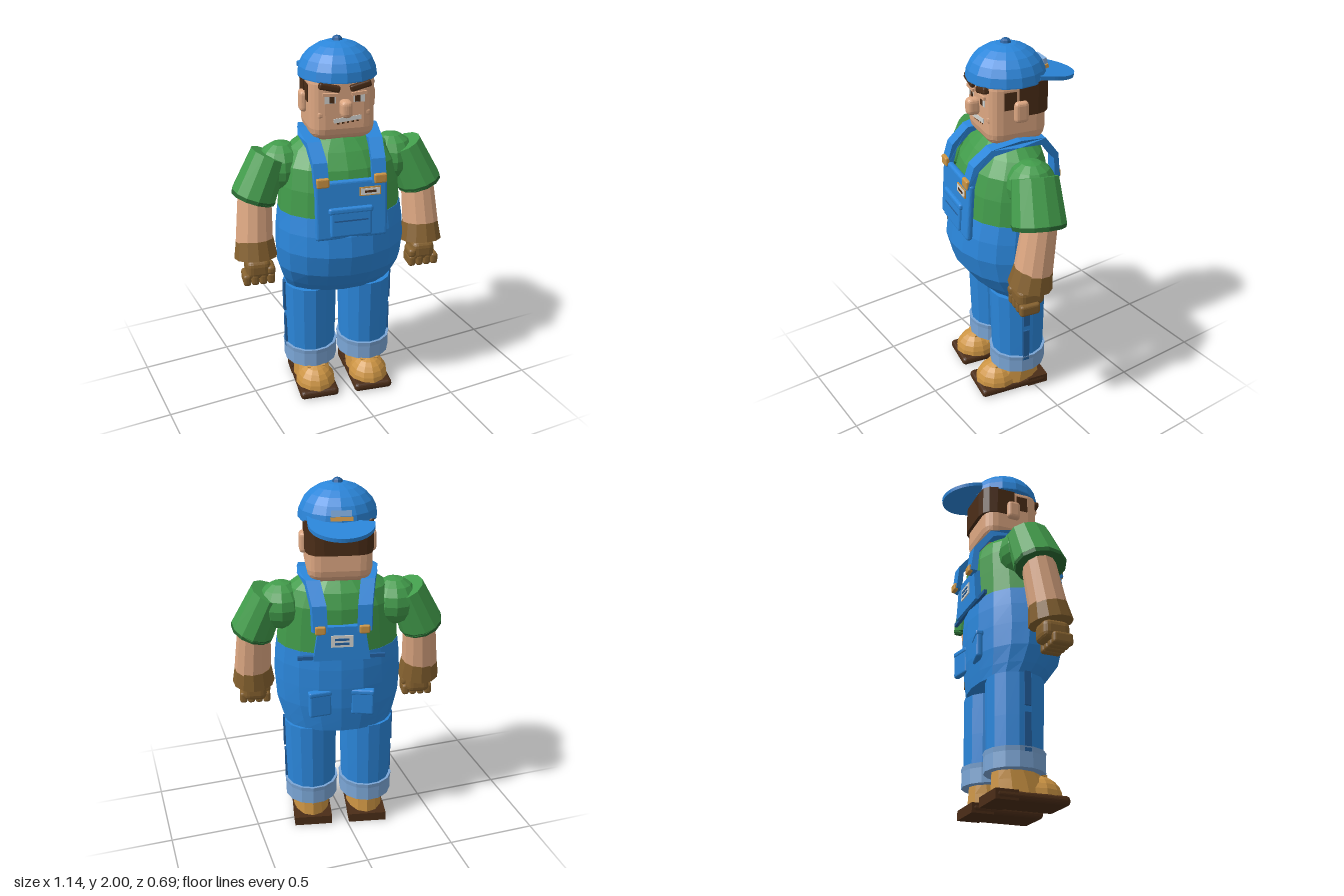
import * as THREE from 'three';
import { toCreasedNormals } from 'three/addons/utils/BufferGeometryUtils.js';
import { RoundedBoxGeometry } from 'three/addons/geometries/RoundedBoxGeometry.js';

const paint = (name, color) => {
  const m = new THREE.MeshStandardMaterial({ color });
  m.name = name;
  return m;
};

export function createModel() {
  const blue = paint('denim blue', 0x2b86da), navy = paint('dark denim', 0x23609f);
  const green = paint('shirt green', 0x429c4b), hem = paint('dark green', 0x2a6b33);
  const skin = paint('skin', 0xdda782), leather = paint('glove brown', 0x85612f);
  const tan = paint('boot tan', 0xcc9443), brown = paint('dark brown', 0x4b2d17);
  const pale = paint('pale denim', 0x7ba6d6), white = paint('off white', 0xd6d6d2);

  const root = new THREE.Group();
  root.name = 'worker';
  const body = new THREE.Group();
  body.name = 'figure';
  body.rotation.y = -0.2;
  body.position.x = 0.012;
  root.add(body);

  const add = (name, geo, mat, pos = [0, 0, 0], rot = [0, 0, 0]) => {
    const m = new THREE.Mesh(geo, mat);
    m.name = name;
    m.position.set(...pos);
    m.rotation.set(...rot);
    body.add(m);
    return m;
  };
  const flat = (g) => toCreasedNormals(g, 0.05);
  const box = (w, h, d) => new THREE.BoxGeometry(w, h, d);
  const round = (w, h, d, r) => flat(new RoundedBoxGeometry(w, h, d, 2, r));

  // Closed skin through oval rings of [y, half width, front z, back z, centre x]
  const loft = (rings, n = 18) => {
    const v = [], idx = [];
    for (const [y, rx, front, back, cx = 0] of rings)
      for (let j = 0; j < n; j++) {
        const t = (j / n) * Math.PI * 2;
        v.push(cx + rx * Math.sin(t), y, (front + back) / 2 + ((front - back) / 2) * Math.cos(t));
      }
    for (let i = 0; i < rings.length - 1; i++)
      for (let j = 0; j < n; j++) {
        const a = i * n + j, b = i * n + ((j + 1) % n);
        idx.push(a, b, b + n, a, b + n, a + n);
      }
    const top = (rings.length - 1) * n;
    for (let j = 1; j < n - 1; j++) idx.push(0, j + 1, j, top, top + j, top + j + 1);
    const g = new THREE.BufferGeometry();
    g.setAttribute('position', new THREE.Float32BufferAttribute(v, 3));
    g.setIndex(idx);
    return flat(g);
  };
  // Tapered cylinder from an upper point to a lower point
  const limb = (name, mat, p, q, r0, r1, depth = 1, n = 12) => {
    const a = new THREE.Vector3(...p), b = new THREE.Vector3(...q);
    const g = new THREE.CylinderGeometry(r0, r1, a.distanceTo(b), n).scale(1, 1, depth);
    const m = add(name, flat(g), mat, a.clone().add(b).multiplyScalar(0.5).toArray());
    m.quaternion.setFromUnitVectors(new THREE.Vector3(0, 1, 0), a.sub(b).normalize());
  };

  // Torso: overalls below, shirt above
  add('overalls', loft([
    [0.64, 0.292, 0.175, -0.165], [0.70, 0.315, 0.235, -0.175], [0.79, 0.342, 0.3, -0.187],
    [0.91, 0.35, 0.331, -0.193], [1.02, 0.345, 0.318, -0.192], [1.115, 0.333, 0.292, -0.185],
  ]), blue);
  add('shirt', loft([
    [1.11, 0.331, 0.29, -0.184], [1.25, 0.32, 0.272, -0.182], [1.36, 0.305, 0.242, -0.18],
    [1.44, 0.262, 0.19, -0.155], [1.49, 0.19, 0.145, -0.115], [1.525, 0.12, 0.11, -0.09],
  ]), green);

  // Bib with pocket and label
  add('bib', round(0.38, 0.315, 0.035, 0.015), blue, [0.004, 1.17, 0.287], [-0.07, 0, 0]);
  add('bibPocket', round(0.22, 0.16, 0.03, 0.012), blue, [-0.002, 1.11, 0.308], [-0.07, 0, 0]);
  add('bibPocketFlap', round(0.235, 0.035, 0.036, 0.012), blue, [-0.002, 1.172, 0.303], [-0.07, 0, 0]);
  add('bibPocketSeam', box(0.18, 0.008, 0.006), navy, [-0.002, 1.12, 0.321], [-0.07, 0, 0]);
  add('bibLabelEdge', box(0.11, 0.046, 0.008), tan, [0.1, 1.265, 0.3], [-0.07, 0, 0]);
  add('bibLabel', box(0.098, 0.034, 0.008), white, [0.1, 1.265, 0.303], [-0.07, 0, 0]);
  add('bibLabelBar', box(0.06, 0.012, 0.006), brown, [0.1, 1.265, 0.306], [-0.07, 0, 0]);

  // Back panel, waistband and label
  const panel = new THREE.Shape([[-0.15, 1.09], [0.15, 1.09], [0.12, 1.28], [-0.12, 1.28]].map((p) => new THREE.Vector2(...p)));
  add('backPanel', new THREE.ExtrudeGeometry(panel, { depth: 0.035, bevelEnabled: false }), blue, [0, 0, -0.207]);
  add('backBand', box(0.46, 0.02, 0.018), navy, [0, 1.1, -0.181]);
  add('backLabel', box(0.115, 0.065, 0.008), white, [0, 1.2, -0.209]);
  for (const y of [1.187, 1.211]) add('backLabelBar', box(0.075, 0.012, 0.006), navy, [0, y, -0.213]);

  // Strap: curved band in side profile, with its sideways position set by z
  const mid = [[0.285, 1.30], [0.252, 1.41], [0.165, 1.487], [0.02, 1.517], [-0.125, 1.495], [-0.205, 1.39], [-0.218, 1.26]];
  const shift = (d) => mid.map(([z, y]) => {
    const l = Math.hypot(z - 0.03, y - 1.2);
    return new THREE.Vector2(z + (d * (z - 0.03)) / l, y + (d * (y - 1.2)) / l);
  });
  const strap = (s) => {
    const shape = new THREE.Shape([...shift(0.018), ...shift(-0.018).reverse()]);
    const g = new THREE.ExtrudeGeometry(shape, { depth: 0.074, bevelEnabled: false });
    g.rotateY(-Math.PI / 2).translate(0.037, 0, 0);
    const p = g.attributes.position;
    for (let i = 0; i < p.count; i++) {
      const z = p.getZ(i), t = Math.min(1, Math.abs(z) / 0.28);
      p.setX(i, p.getX(i) + s * (0.178 - (z > 0 ? 0.028 : 0.078) * t));
    }
    return flat(g);
  };

  // Boot toe: half dome resting on the sole
  const toe = flat(new THREE.SphereGeometry(1, 12, 6, 0, Math.PI * 2, 0, Math.PI / 2).scale(0.112, 0.115, 0.125));

  for (const s of [-1, 1]) {
    add('strap', strap(s), blue);
    add('frontClip', round(0.066, 0.05, 0.025, 0.008), tan, [s * 0.15 + 0.004, 1.327, 0.294]);
    add('backClip', round(0.055, 0.045, 0.025, 0.008), tan, [s * 0.114, 1.275, -0.232]);
    add('backPocket', round(0.125, 0.15, 0.035, 0.012), blue, [s * 0.115, 0.825, -0.178], [0, s * 0.2, 0]);
    add('backPocketFlap', round(0.128, 0.03, 0.042, 0.01), blue, [s * 0.115, 0.885, -0.178], [0, s * 0.2, 0]);

    // Leg with side stripe and rolled cuff
    const lx = s * 0.157;
    add('leg', loft([[0.2, 0.138, 0.153, -0.135, lx], [0.42, 0.144, 0.16, -0.138, lx], [0.645, 0.147, 0.166, -0.14, lx]], 14), blue);
    add('sideStripe', box(0.014, 0.18, 0.036), navy, [s * 0.303, 0.56, 0.02]);
    add('sideStripe', box(0.014, 0.2, 0.036), navy, [s * 0.299, 0.335, 0.02]);
    add('trouserCuff', loft([[0.155, 0.15, 0.167, -0.147, lx], [0.235, 0.15, 0.167, -0.147, lx], [0.26, 0.154, 0.17, -0.15, lx]], 14), pale);

    // Boot
    add('sole', round(0.22, 0.05, 0.4, 0.022), brown, [lx, 0.025, 0.065]);
    add('heel', box(0.215, 0.052, 0.12), brown, [lx, 0.026, -0.075]);
    add('boot', loft([[0.045, 0.105, 0.2, -0.12, lx], [0.11, 0.1, 0.17, -0.115, lx], [0.18, 0.095, 0.12, -0.11, lx]], 12), tan);
    add('toeCap', toe, tan, [lx, 0.045, 0.135]);
    add('lace', box(0.1, 0.012, 0.03), tan, [lx, 0.155, 0.15], [0.5, 0, 0]);

    // Arm: shoulder, sleeve, forearm, gauntlet and fist
    add('shoulder', flat(new THREE.SphereGeometry(0.13, 12, 8)), green, [s * 0.3, 1.335, 0.005]);
    limb('sleeve', green, [s * 0.36, 1.4, 0.012], [s * 0.457, 1.185, 0.032], 0.102, 0.12, 1.2);
    limb('sleeveHem', hem, [s * 0.453, 1.192, 0.032], [s * 0.46, 1.172, 0.034], 0.121, 0.117, 1.2);
    limb('forearm', skin, [s * 0.447, 1.22, 0.02], [s * 0.466, 0.94, 0.065], 0.088, 0.1);
    limb('gloveCuff', leather, [s * 0.464, 0.955, 0.063], [s * 0.464, 0.855, 0.08], 0.1, 0.116);
    add('hand', round(0.13, 0.11, 0.15, 0.035), leather, [s * 0.46, 0.805, 0.09]);
    for (let i = 0; i < 4; i++)
      add('finger', round(0.041, 0.065, 0.11, 0.015), leather, [s * (0.396 + i * 0.043), 0.752, 0.11]);
    add('thumb', round(0.045, 0.05, 0.1, 0.018), leather, [s * 0.395, 0.8, 0.12]);

    // Ear and sideburn
    add('ear', round(0.045, 0.11, 0.075, 0.02), skin, [s * 0.177, 1.675, 0.005]);
    add('sideburn', box(0.012, 0.09, 0.065), brown, [s * 0.168, 1.735, 0.06]);

    // Eye, lid, brow and cheek
    add('eyeWhite', box(0.058, 0.038, 0.008), white, [s * 0.074, 1.714, 0.165]);
    add('pupil', box(0.026, 0.034, 0.006), brown, [s * 0.066, 1.714, 0.169]);
    add('eyelid', box(0.078, 0.016, 0.024), skin, [s * 0.074, 1.741, 0.166], [0, 0, s * 0.08]);
    add('brow', round(0.11, 0.034, 0.035, 0.01), brown, [s * 0.08, 1.779, 0.17], [0, 0, s * 0.24]);
    add('cheek', round(0.044, 0.036, 0.025, 0.012), skin, [s * 0.115, 1.635, 0.152]);
  }

  // Head
  add('head', round(0.34, 0.37, 0.32, 0.07), skin, [0, 1.675, 0.007]);
  const hair = new THREE.Shape();
  hair.moveTo(-0.176, -0.012);
  hair.lineTo(0.176, -0.012);
  hair.lineTo(0.174, 0.09);
  hair.quadraticCurveTo(0.165, 0.168, 0.085, 0.172);
  hair.lineTo(-0.085, 0.172);
  hair.quadraticCurveTo(-0.165, 0.168, -0.174, 0.09);
  add('hair', flat(new THREE.ExtrudeGeometry(hair, { depth: 0.165, bevelEnabled: false, curveSegments: 3 }).rotateX(-Math.PI / 2)),
    brown, [0, 1.648, 0]);
  add('nose', round(0.06, 0.09, 0.075, 0.024), skin, [0, 1.672, 0.19]);
  add('teeth', box(0.145, 0.022, 0.014), white, [0.015, 1.61, 0.164], [0, 0, 0.1]);
  for (let i = 0; i < 5; i++)
    add('toothGap', box(0.012, 0.012, 0.009), brown, [-0.033 + i * 0.025, 1.59 + i * 0.0025, 0.163], [0, 0, 0.1]);

  // Backwards cap
  add('capDome', flat(new THREE.SphereGeometry(0.204, 16, 6, 0, Math.PI * 2, 0, Math.PI / 2).scale(1, 0.83, 1)), blue, [0, 1.81, 0.012]);
  add('capBase', flat(new THREE.CylinderGeometry(0.203, 0.203, 0.012, 16)), blue, [0, 1.81, 0.012]);
  add('capButton', flat(new THREE.SphereGeometry(0.028, 8, 6).scale(1, 0.8, 1)), navy, [0, 1.977, 0.012]);
  const brim = new THREE.Shape();
  brim.moveTo(-0.165, 0);
  brim.absellipse(0, 0.08, 0.165, 0.175, Math.PI, 0, true);
  brim.lineTo(0.165, 0);
  const visor = new THREE.ExtrudeGeometry(brim, { depth: 0.02, bevelEnabled: false, curveSegments: 14 }).rotateX(-Math.PI / 2);
  add('capVisor', visor, blue, [0, 1.818, -0.1], [-0.17, 0, 0]);
  add('capStrap', box(0.11, 0.02, 0.02), tan, [0, 1.842, -0.19], [0.3, 0, 0]);
  add('capBuckle', box(0.1, 0.03, 0.02), pale, [0, 1.868, -0.184], [0.3, 0, 0]);

  return root;
}
